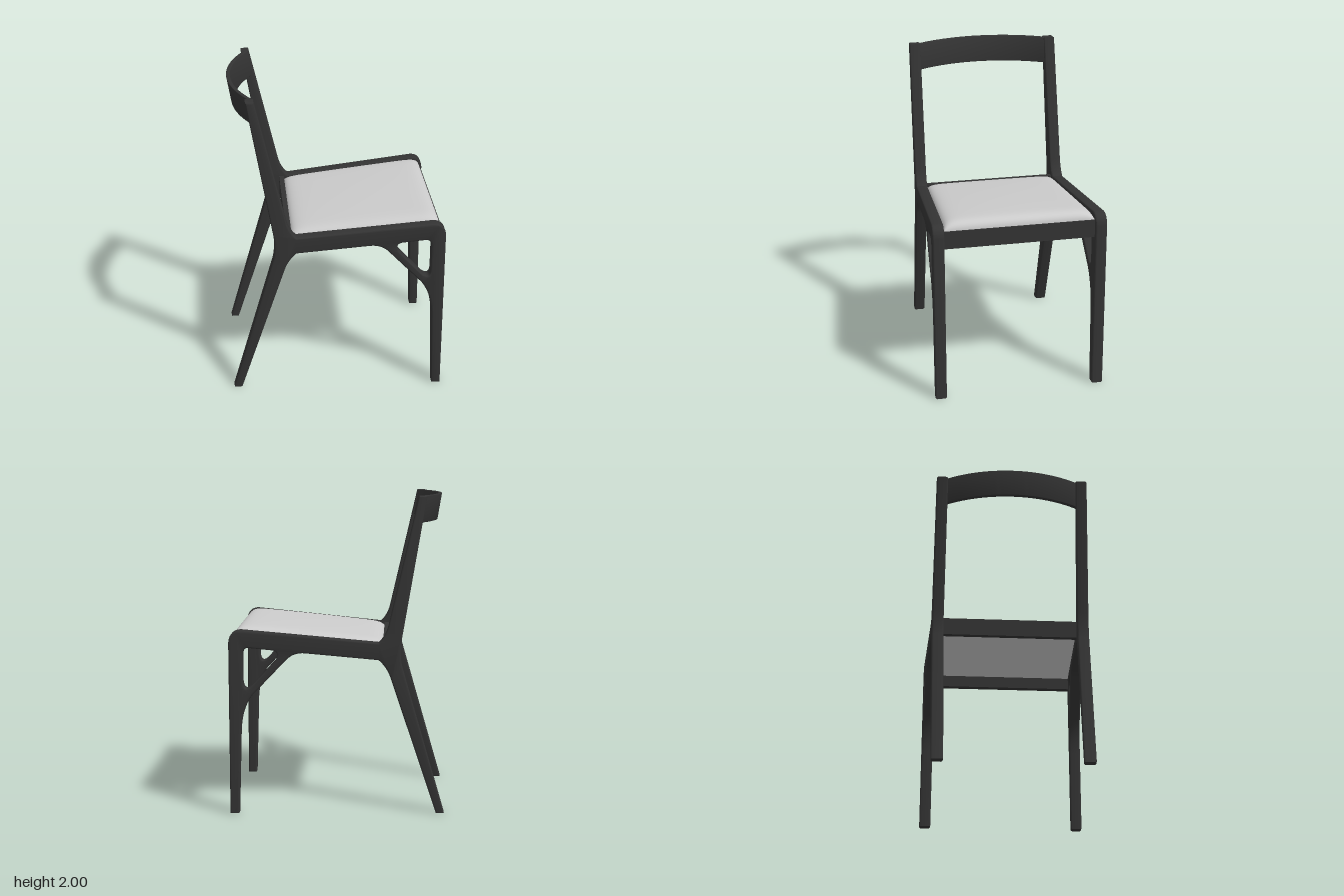
import * as THREE from 'three';
import { toCreasedNormals } from 'three/addons/utils/BufferGeometryUtils.js';

const wood = new THREE.MeshStandardMaterial({ color: 0x333333 });
const fabric = new THREE.MeshStandardMaterial({ color: 0xcccccc });

// The seat narrows towards the back: centre line of a side frame at x
const frameZ = (x) => 0.479 + 0.047 * x;

function warp(geometry, rule) {
  const pos = geometry.attributes.position;
  const v = new THREE.Vector3();
  for (let i = 0; i < pos.count; i++) {
    v.fromBufferAttribute(pos, i);
    rule(v);
    pos.setXYZ(i, v.x, v.y, v.z);
  }
  geometry.computeVertexNormals();
  return geometry;
}

// Extrusion with rounded edges, its back face at z = 0
function extrude(shape, depth, bevel) {
  const geometry = new THREE.ExtrudeGeometry(shape, {
    depth: depth - 2 * bevel, curveSegments: 20,
    bevelEnabled: true, bevelThickness: bevel, bevelSize: bevel, bevelOffset: -bevel, bevelSegments: 3,
  });
  return geometry.translate(0, 0, bevel);
}

function addMesh(group, name, geometry, material) {
  const mesh = new THREE.Mesh(geometry, material);
  mesh.name = name;
  group.add(mesh);
}

// Side outline: back post, back leg, seat rail, front leg and brace in one piece
function sideShape() {
  const s = new THREE.Shape();
  s.moveTo(-0.675, 0);
  s.lineTo(-0.624, 0);
  s.lineTo(-0.335, 0.865);
  s.quadraticCurveTo(-0.31, 0.94, -0.257, 0.985);
  s.lineTo(0.2, 1.028);
  s.quadraticCurveTo(0.275, 1.035, 0.325, 0.978);
  s.lineTo(0.53, 0.762);
  s.quadraticCurveTo(0.6, 0.67, 0.604, 0.52);
  s.lineTo(0.62, 0);
  s.lineTo(0.675, 0);
  s.lineTo(0.675, 1.09);
  s.quadraticCurveTo(0.672, 1.17, 0.6, 1.172);
  s.lineTo(-0.257, 1.092);
  s.quadraticCurveTo(-0.3, 1.13, -0.318, 1.2);
  s.lineTo(-0.5, 2);
  s.lineTo(-0.55, 2);
  s.lineTo(-0.4, 1.11);
  s.quadraticCurveTo(-0.388, 1.02, -0.404, 0.94);
  s.closePath();

  // Opening between the rail, the leg and the brace
  const h = new THREE.Path();
  h.moveTo(0.4, 1.046);
  h.lineTo(0.55, 1.062);
  h.quadraticCurveTo(0.588, 1.063, 0.588, 1.01);
  h.lineTo(0.588, 0.85);
  h.quadraticCurveTo(0.583, 0.78, 0.535, 0.82);
  h.lineTo(0.385, 0.982);
  h.quadraticCurveTo(0.355, 1.035, 0.4, 1.046);
  s.holes.push(h);
  return s;
}

function sideFrame(side) {
  const geometry = warp(extrude(sideShape(), 0.073, 0.01), (v) => {
    v.z += side * frameZ(v.x) - 0.0365;
  });
  return toCreasedNormals(geometry, 0.6);
}

// Thin curved back board, leaning with the posts
function backBoard() {
  const R = 0.79, t = 0.012, a = 0.572, cx = -0.641 + R;
  const s = new THREE.Shape();
  s.absarc(cx, 0, R + t, Math.PI - a, Math.PI + a, false);
  s.absarc(cx, 0, R - t, Math.PI + a, Math.PI - a, true);
  s.closePath();
  const geometry = extrude(s, 0.167, 0.003).rotateX(-Math.PI / 2).translate(0, 1.832, 0);
  warp(geometry, (v) => { v.x += (2 - v.y) * 0.165; });
  return toCreasedNormals(geometry, 0.6);
}

// Cross rail whose ends follow the side frames
function crossRail(x0, x1, y0, y1) {
  const geometry = new THREE.BoxGeometry(x1 - x0, y1 - y0, 2);
  geometry.translate((x0 + x1) / 2, (y0 + y1) / 2, 0);
  return warp(geometry, (v) => { v.z *= frameZ(v.x) - 0.02; });
}

// Sloping tapered cushion, crowned, with soft top edges and a flat underside
function cushion() {
  const ease = (u) => Math.sin(u * Math.PI / 2);
  const soft = (u) => Math.sqrt(Math.max(0, 1 - Math.pow(Math.abs(u), 14)));
  return warp(new THREE.BoxGeometry(2, 2, 2, 40, 1, 40), (v) => {
    const u = ease(v.x), w = ease(v.z), top = v.y > 0;
    const x = 0.18 + 0.465 * u;
    const base = 1.082 + 0.075 * x;
    const crown = 0.014 * (1 - u * u) * (1 - w * w);
    v.set(x, top ? base + (0.05 + 0.02 * x) * soft(u) * soft(w) + crown : base - 0.03,
      w * (frameZ(x) - 0.037));
  });
}

export function createModel() {
  const chair = new THREE.Group();
  chair.name = 'chair';
  addMesh(chair, 'backSideFrame', sideFrame(-1), wood);
  addMesh(chair, 'frontSideFrame', sideFrame(1), wood);
  addMesh(chair, 'backBoard', backBoard(), wood);
  addMesh(chair, 'frontRail', crossRail(0.612, 0.652, 1.018, 1.132), wood);
  addMesh(chair, 'backRail', crossRail(-0.315, -0.283, 0.975, 1.088), wood);
  addMesh(chair, 'seatCushion', cushion(), fabric);
  return chair;
}
